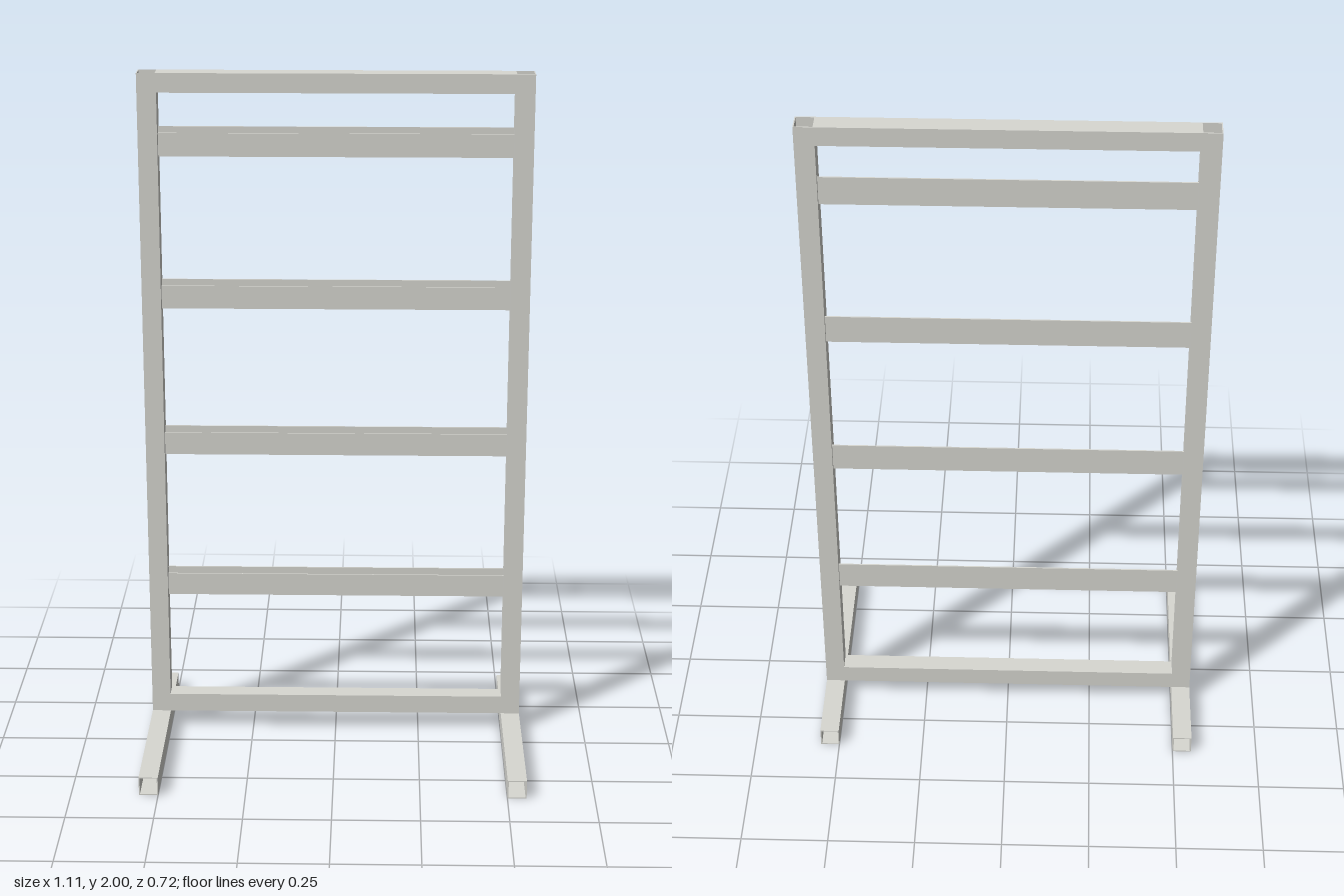
import * as THREE from 'three';

const S = 0.055;      // outer size of the square tube
const WALL = 0.003;   // tube wall thickness
const X = 0.5275;     // centre of uprights and feet
const Z = -0.1125;    // centre plane of the upright frame

function square(path, h) {
  path.moveTo(-h, -h);
  path.lineTo(h, -h);
  path.lineTo(h, h);
  path.lineTo(-h, h);
  path.closePath();
  return path;
}

// Extrusion along z, centred on its length
function extrude(shape, length) {
  return new THREE.ExtrudeGeometry(shape, { depth: length, bevelEnabled: false }).translate(0, 0, -length / 2);
}

// Hollow square tube with open ends
function tube(length) {
  const shape = square(new THREE.Shape(), S / 2);
  shape.holes.push(square(new THREE.Path(), S / 2 - WALL));
  return extrude(shape, length);
}

export function createModel() {
  const model = new THREE.Group();
  const steel = new THREE.MeshStandardMaterial({ color: 0xd8d8d2 });
  steel.name = 'light steel grey';

  const add = (name, geometry, x, y, z) => {
    const mesh = new THREE.Mesh(geometry, steel);
    mesh.name = name;
    mesh.position.set(x, y, z);
    model.add(mesh);
  };

  // Feet and uprights, mirrored
  const footGeometry = tube(0.72);
  const uprightGeometry = tube(2 - S).rotateX(-Math.PI / 2);
  for (const [side, s] of [['left', 1], ['right', -1]]) {
    add(side + 'Foot', footGeometry, s * X, S / 2, 0);
    add(side + 'Upright', uprightGeometry, s * X, (2 + S) / 2, Z);
  }

  // Bottom and top rails between the uprights
  const railGeometry = tube(1).rotateY(Math.PI / 2);
  add('bottomRail', railGeometry, 0, S * 1.5, Z);
  add('topRail', railGeometry, 0, 2 - S / 2, Z);

  // Narrow channel, open at the top: tall back, slightly lower upright front.
  // Profile is (forward, up); the extrusion is turned to run along x.
  const channel = new THREE.Shape([
    [0, 0], [0.02, 0], [0.02, 0.067], [0.016, 0.067],
    [0.016, 0.004], [0.004, 0.004], [0.004, 0.083], [0, 0.083],
  ].map(([f, u]) => new THREE.Vector2(-f, u)));
  const channelGeometry = extrude(channel, 1).rotateY(Math.PI / 2);
  for (let i = 0; i < 4; i++) {
    add('shelfChannel' + (i + 1), channelGeometry, 0, 0.428 + i * 0.444, -0.127);
  }
  return model;
}
